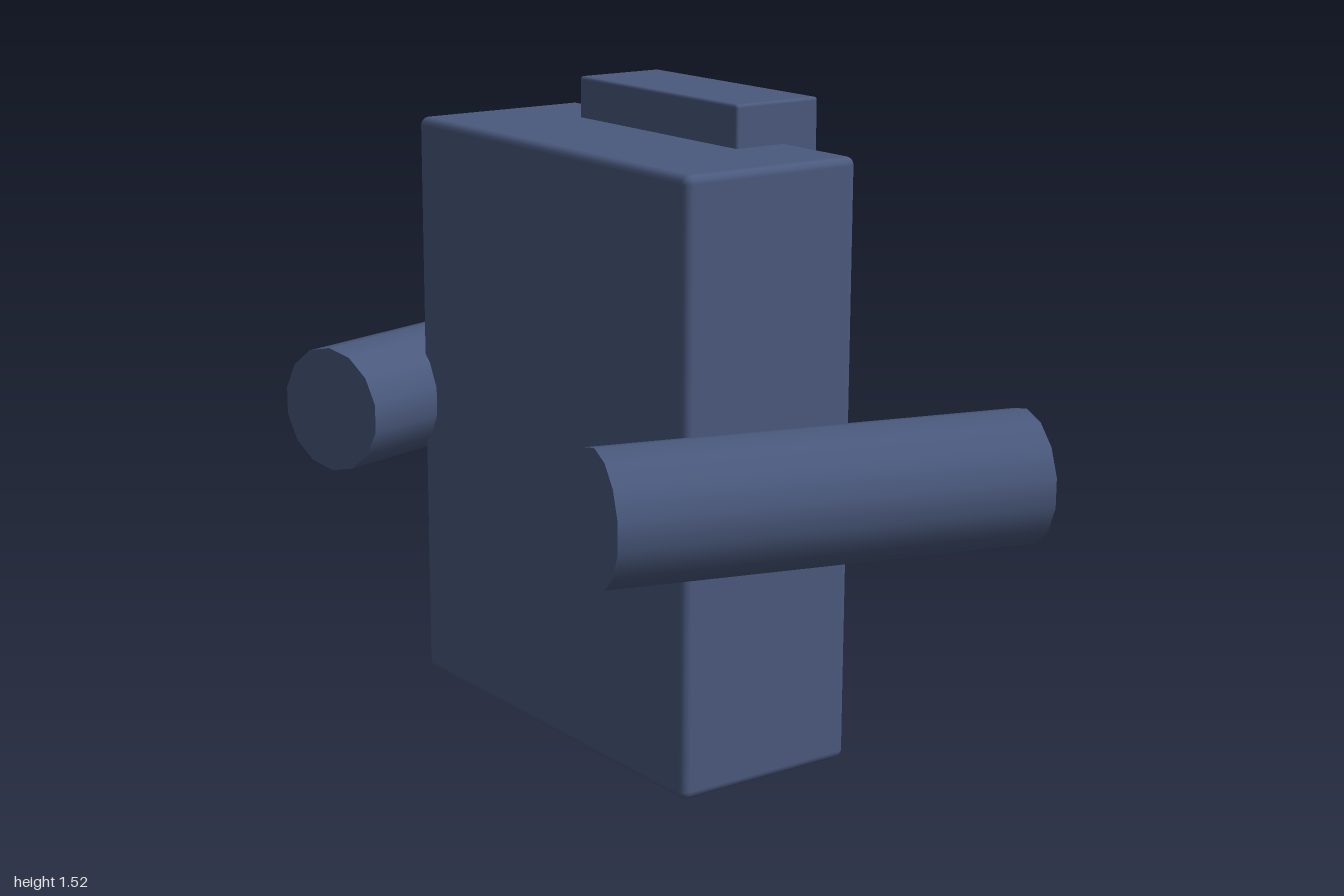
import * as THREE from 'three';
import { RoundedBoxGeometry } from 'three/addons/geometries/RoundedBoxGeometry.js';

export function createModel() {
  const model = new THREE.Group();
  model.name = 'jacket';

  const cloth = new THREE.MeshStandardMaterial({ color: 0x4a597d });
  cloth.name = 'navy cloth';
  const trim = new THREE.MeshStandardMaterial({ color: 0xad7b3a });
  trim.name = 'tan trim';

  function add(name, geometry, material, x, y, z) {
    const mesh = new THREE.Mesh(geometry, material);
    mesh.name = name;
    mesh.position.set(x, y, z);
    model.add(mesh);
    return mesh;
  }

  // Torso and collar
  add('torso', new RoundedBoxGeometry(1.1, 1.42, 0.47, 2, 0.02), cloth, 0, 0.71, 0);
  add('collar', new RoundedBoxGeometry(0.625, 0.19, 0.235, 2, 0.008), cloth, 0, 1.425, -0.198);

  // Sleeves and lapels, mirrored left and right
  const sleeveGeometry = new THREE.CylinderGeometry(0.155, 0.155, 1.016, 14);
  sleeveGeometry.rotateX(Math.PI / 2);
  const lapelGeometry = new RoundedBoxGeometry(0.27, 0.725, 0.07, 1, 0.006);
  for (const [side, s] of [['left', 1], ['right', -1]]) {
    const sleeve = add(side + 'Sleeve', sleeveGeometry, cloth, s * 0.71, 0.715, 0);
    sleeve.rotation.y = -s * 0.28;
    const lapel = add(side + 'Lapel', lapelGeometry, trim, s * 0.24, 0.945, -0.257);
    lapel.rotation.set(0, s * 0.14, s * 0.2);
  }

  // Buttons
  const buttonGeometry = new THREE.CylinderGeometry(0.037, 0.037, 0.04, 10);
  buttonGeometry.rotateX(Math.PI / 2);
  [0.79, 0.475].forEach((y, i) => {
    add('button' + (i + 1), buttonGeometry, trim, 0.077, y, -0.235);
  });

  return model;
}
